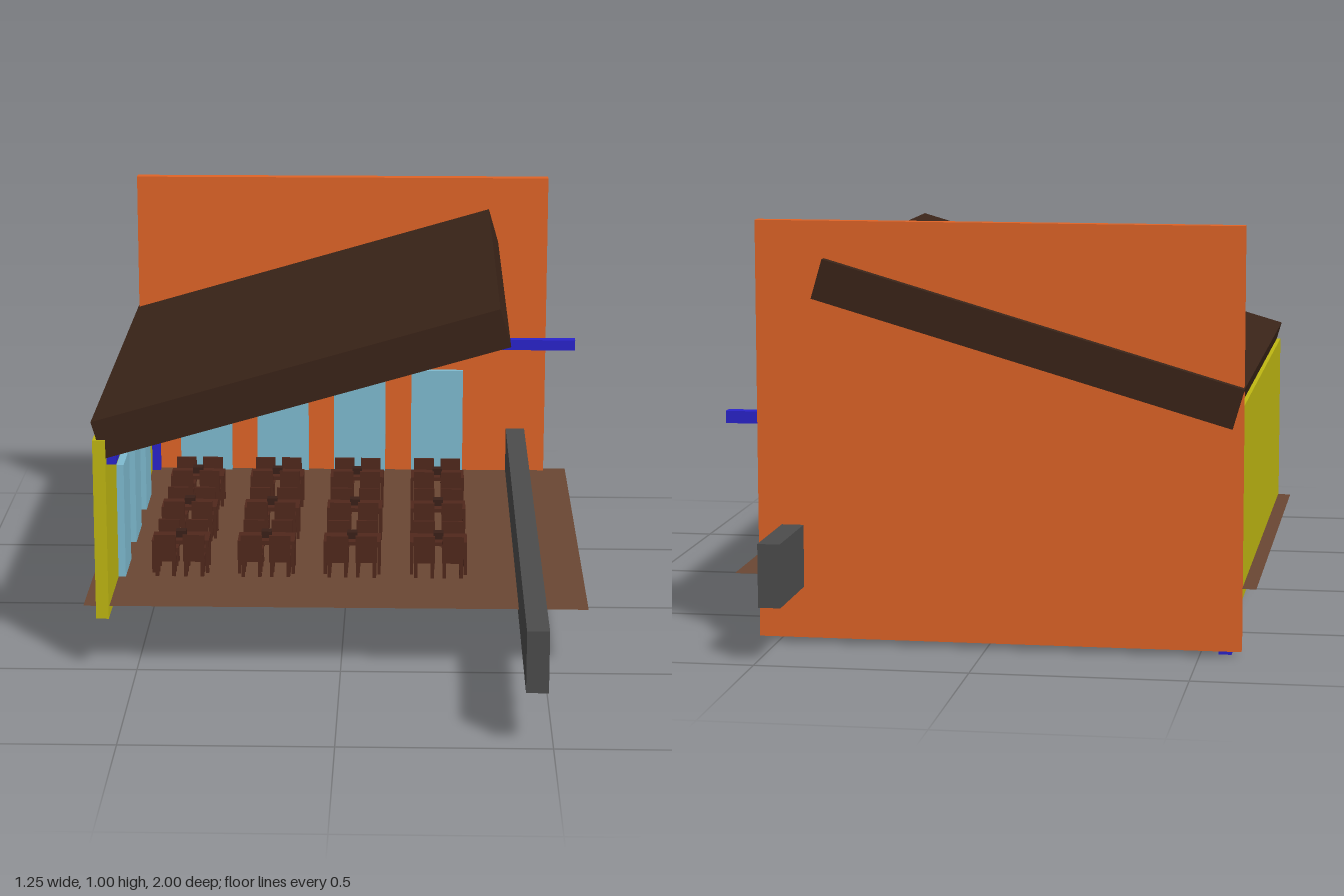
import * as THREE from 'three';

const mat = (color, side = THREE.FrontSide) => new THREE.MeshStandardMaterial({ color, side });
const MAT = {
  orange: mat(0xe06427), yellow: mat(0xbfb712), blue: mat(0x2a23cc), glass: mat(0x7fbbd0),
  roof: mat(0x3a2418), floor: mat(0x6a4733, THREE.DoubleSide), grey: mat(0x4c4c4c),
  wood: mat(0x50281c), darkWood: mat(0x3a2018),
};

// Box given by its lower and upper limits on each axis
function box(parent, name, material, [x0, x1], [y0, y1], [z0, z1]) {
  const m = new THREE.Mesh(new THREE.BoxGeometry(x1 - x0, y1 - y0, z1 - z0), material);
  m.position.set((x0 + x1) / 2, (y0 + y1) / 2, (z0 + z1) / 2);
  m.name = name;
  parent.add(m);
  return m;
}

// Four square legs at the corners of a rectangle
function legs(parent, name, material, hx, hz, top, r) {
  for (const x of [-hx, hx]) for (const z of [-hz, hz])
    box(parent, name, material, [x - r, x + r], [0, top], [z - r, z + r]);
}

// Chair with its back on the +z side
function makeChair() {
  const chair = new THREE.Group();
  chair.name = 'chair';
  box(chair, 'chairSeat', MAT.wood, [-0.026, 0.026], [0.042, 0.05], [-0.024, 0.024]);
  box(chair, 'chairBack', MAT.wood, [-0.027, 0.027], [0.042, 0.112], [0.02, 0.027]);
  legs(chair, 'chairLeg', MAT.wood, 0.021, 0.019, 0.043, 0.0045);
  return chair;
}

// Table with two chairs on each long side
function makeDiningSet() {
  const set = new THREE.Group();
  set.name = 'diningSet';
  box(set, 'tableTop', MAT.wood, [-0.072, 0.072], [0.078, 0.088], [-0.038, 0.038]);
  box(set, 'tableCentrepiece', MAT.darkWood, [-0.013, 0.013], [0.078, 0.105], [-0.013, 0.013]);
  legs(set, 'tableLeg', MAT.wood, 0.068, 0.034, 0.08, 0.004);
  for (const side of [1, -1]) for (const x of [-0.036, 0.036]) {
    const chair = makeChair();
    chair.position.set(x, 0, side * 0.042);
    chair.rotation.y = side > 0 ? 0 : Math.PI;
    set.add(chair);
  }
  return set;
}

export function createModel() {
  const model = new THREE.Group();
  model.name = 'diningPavilion';

  // Walls
  box(model, 'backWall', MAT.orange, [-0.597, 0.543], [0.013, 1], [-0.76, -0.73]);
  box(model, 'sideWall', MAT.yellow, [-0.597, -0.566], [0.133, 0.585], [-0.73, 0.505]);

  // Thin floor
  const floor = new THREE.Mesh(new THREE.PlaneGeometry(1.235, 1.237), MAT.floor);
  floor.rotation.x = -Math.PI / 2;
  floor.position.set(-0.0125, 0.16, -0.1315);
  floor.name = 'floor';
  model.add(floor);

  // Sloping roof slab, running through the back wall
  const roof = box(model, 'roof', MAT.roof, [-0.607, 0.413], [0.677, 0.773], [-0.785, 0.5]);
  roof.rotation.z = 0.282;

  // Column and beams
  box(model, 'column', MAT.blue, [-0.573, -0.543], [0, 0.546], [-0.735, -0.705]);
  box(model, 'backBeam', MAT.blue, [-0.543, 0.625], [0.517, 0.546], [-0.735, -0.705]);
  box(model, 'sideBeam', MAT.blue, [-0.572, -0.543], [0.517, 0.546], [-0.705, 0.475]);

  // Long low barrier
  box(model, 'barrier', MAT.grey, [0.435, 0.487], [0.135, 0.283], [-1, 1]);

  const columns = [-0.412, -0.195, 0.022, 0.24];
  const rows = [0.187, -0.103, -0.393];

  // Windows on both walls
  for (const x of columns)
    box(model, 'backWindow', MAT.glass, [x - 0.0725, x + 0.0725], [0.158, 0.453], [-0.735, -0.715]);
  for (const z of rows)
    box(model, 'sideWindow', MAT.glass, [-0.599, -0.548], [0.158, 0.453], [z - 0.0725, z + 0.0725])
      .scale.x = 0.4;
  // Seat the side windows on the inner face of the wall
  model.children.filter((m) => m.name === 'sideWindow').forEach((m) => { m.position.x = -0.558; });

  // Grid of dining sets
  for (const x of columns) for (const z of rows) {
    const set = makeDiningSet();
    set.position.set(x, 0.158, z);
    model.add(set);
  }
  return model;
}
